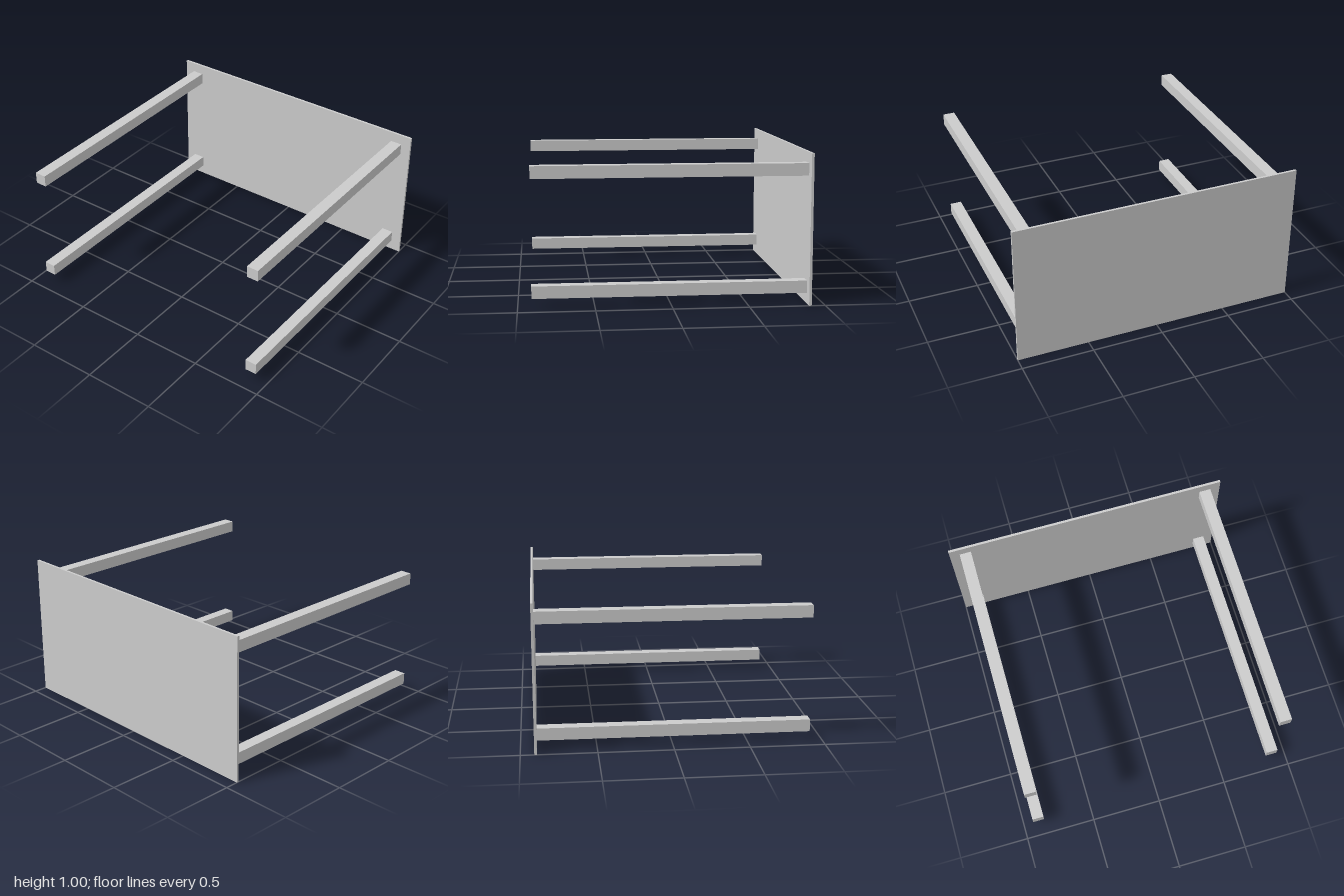
import * as THREE from 'three';

const HALF_DEPTH = 0.91;
const TOP_THICKNESS = 0.017;
const LEG_SIZE = 0.082;
const LEG_INSET = 0.112; // edge of the top to leg centre

export function createModel() {
  const group = new THREE.Group();
  group.name = 'tableOnItsSide';
  const material = new THREE.MeshStandardMaterial({ color: 0xcccccc, flatShading: true });

  function addBox(name, size, position) {
    const mesh = new THREE.Mesh(new THREE.BoxGeometry(...size), material);
    mesh.name = name;
    mesh.position.set(...position);
    group.add(mesh);
  }

  // Thin table top standing upright at the back
  addBox('tableTop', [2, 1, TOP_THICKNESS], [0, 0.5, -HALF_DEPTH + TOP_THICKNESS / 2]);

  // Four square legs reaching forward from the top's corners
  const legLength = 2 * HALF_DEPTH - TOP_THICKNESS;
  for (const [side, x] of [['left', 1 - LEG_INSET], ['right', LEG_INSET - 1]]) {
    for (const [level, y] of [['Upper', 1 - LEG_INSET], ['Lower', LEG_INSET]]) {
      addBox(`${side}${level}Leg`, [LEG_SIZE, LEG_SIZE, legLength], [x, y, TOP_THICKNESS / 2]);
    }
  }
  return group;
}
